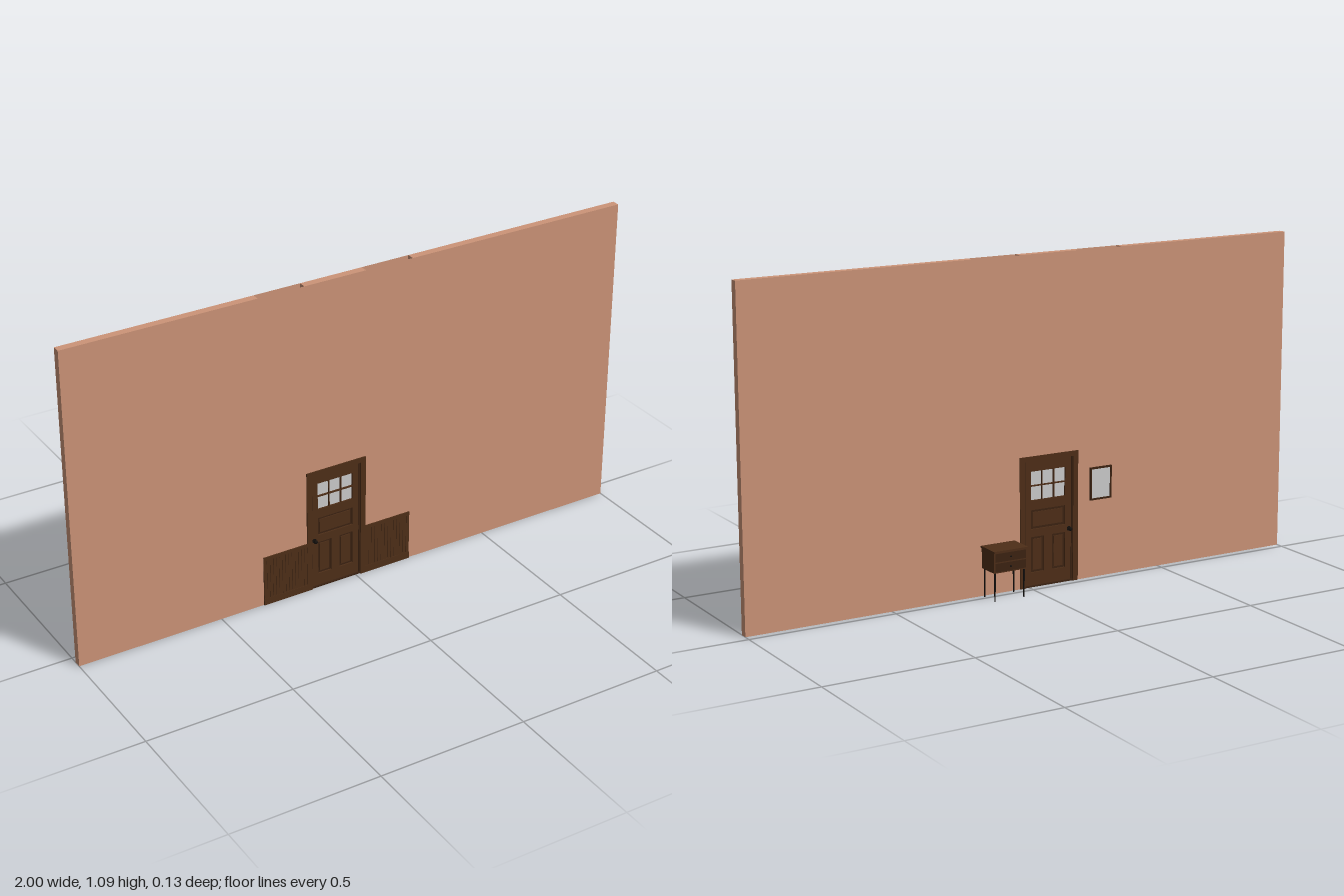
import * as THREE from 'three';

const mat = (color, side = THREE.FrontSide) => new THREE.MeshStandardMaterial({ color, side });
const wallMat = mat(0xcc9478);
const openWallMat = mat(0xcc9478, THREE.DoubleSide);
const wood = mat(0x4e2e18);
const darkWood = mat(0x3c2312);
const black = mat(0x14100d);
const grey = mat(0xcccccc);

const WALL_BACK = 0.026, WALL_FRONT = 0.052, WALL_TOP = 1.09;
const WALL_MID = (WALL_BACK + WALL_FRONT) / 2;
const DOOR_X = -0.0745;

function add(parent, name, geometry, material, x = 0, y = 0, z = 0) {
  const mesh = new THREE.Mesh(geometry, material);
  mesh.name = name;
  mesh.position.set(x, y, z);
  parent.add(mesh);
  return mesh;
}

// Box given by its limits on each axis
function box(parent, name, material, [x0, x1], [y0, y1], [z0, z1]) {
  return add(parent, name, new THREE.BoxGeometry(x1 - x0, y1 - y0, z1 - z0), material,
    (x0 + x1) / 2, (y0 + y1) / 2, (z0 + z1) / 2);
}

// Rectangular ring with a front along z
function ring(parent, name, material, [x0, x1], [y0, y1], [z0, z1], border) {
  box(parent, name, material, [x0, x0 + border], [y0, y1], [z0, z1]);
  box(parent, name, material, [x1 - border, x1], [y0, y1], [z0, z1]);
  box(parent, name, material, [x0 + border, x1 - border], [y1 - border, y1], [z0, z1]);
  box(parent, name, material, [x0 + border, x1 - border], [y0, y0 + border], [z0, z1]);
}

function makeWall() {
  const wall = new THREE.Group();
  wall.name = 'wall';
  const z = [WALL_BACK, WALL_FRONT];
  box(wall, 'wallRight', wallMat, [-1, -0.345], [0, WALL_TOP], z);
  box(wall, 'wallLeft', wallMat, [0.205, 1], [0, WALL_TOP], z);
  box(wall, 'wallAboveDoor', wallMat, [-0.184, 0.035], [0.425, WALL_TOP], z);
  // Hollow stretches beside the door, open at top and bottom
  for (const [x0, x1] of [[-0.345, -0.184], [0.035, 0.205]]) {
    for (const zFace of z) {
      const face = add(wall, 'wallSkin', new THREE.PlaneGeometry(x1 - x0, WALL_TOP), openWallMat,
        (x0 + x1) / 2, WALL_TOP / 2, zFace);
      if (zFace === WALL_BACK) face.rotation.y = Math.PI;
    }
  }
  return wall;
}

function makeWainscot(x0, x1) {
  const group = new THREE.Group();
  group.name = 'wainscot';
  box(group, 'backing', darkWood, [x0, x1], [0, 0.172], [WALL_FRONT, 0.0535]);
  // Narrow vertical boards with grooves between them
  const count = 14, step = (x1 - x0) / count;
  for (let i = 0; i < count; i++) {
    const x = x0 + i * step;
    box(group, 'board', wood, [x + 0.0006, x + step - 0.0006], [0.02, 0.165], [0.0535, 0.0545]);
  }
  box(group, 'baseboard', wood, [x0, x1], [0, 0.024], [WALL_FRONT, 0.056]);
  box(group, 'capRail', wood, [x0, x1], [0.166, 0.178], [WALL_FRONT, 0.056]);
  return group;
}

function rectPath(Type, [x0, x1, y0, y1]) {
  return new Type([[x0, y0], [x1, y0], [x1, y1], [x0, y1]].map(p => new THREE.Vector2(...p)));
}

function makeDoor() {
  const door = new THREE.Group();
  door.name = 'door';
  door.position.x = DOOR_X;

  // Frame through the wall
  const frameZ = [0.023, 0.056];
  for (const s of [-1, 1]) {
    box(door, 'jamb', wood, s < 0 ? [-0.1095, -0.091] : [0.091, 0.1095], [0, 0.42], frameZ);
    const inner = s < 0 ? [-0.091, -0.087] : [0.087, 0.091];
    box(door, 'doorStop', darkWood, inner, [0, 0.42], [0.028, 0.05]);
  }
  box(door, 'frameHead', wood, [-0.1095, 0.1095], [0.42, 0.437], frameZ);
  box(door, 'threshold', darkWood, [-0.091, 0.091], [0, 0.005], [0.026, 0.052]);

  // Leaf with openings for six panes and three panels
  const panes = [];
  for (let i = 0; i < 3; i++) {
    for (let j = 0; j < 2; j++) {
      const x = -0.065 + i * 0.0445, y = 0.289 + j * 0.05;
      panes.push([x, x + 0.041, y, y + 0.046]);
    }
  }
  const panels = [[-0.065, 0.065, 0.193, 0.257], [-0.065, -0.015, 0.048, 0.167], [0.015, 0.065, 0.048, 0.167]];
  const shape = rectPath(THREE.Shape, [-0.0905, 0.0905, 0.005, 0.42]);
  for (const hole of [...panes, ...panels]) shape.holes.push(rectPath(THREE.Path, hole));
  const leaf = new THREE.ExtrudeGeometry(shape, { depth: 0.016, bevelEnabled: false });
  add(door, 'leaf', leaf, wood, 0, 0, WALL_MID - 0.008);
  box(door, 'glass', grey, [-0.066, 0.066], [0.288, 0.386], [WALL_MID - 0.002, WALL_MID + 0.002]);
  for (const [x0, x1, y0, y1] of panels) {
    box(door, 'panel', darkWood, [x0, x1], [y0, y1], [WALL_MID - 0.003, WALL_MID + 0.003]);
    box(door, 'raisedField', wood, [x0 + 0.008, x1 - 0.008], [y0 + 0.008, y1 - 0.008],
      [WALL_MID - 0.006, WALL_MID + 0.006]);
  }

  // Knob, spindle and plate on each face
  for (const s of [-1, 1]) {
    const at = d => WALL_MID + s * d;
    const plate = add(door, 'knobPlate', new THREE.CylinderGeometry(0.0075, 0.0075, 0.002, 20), black, -0.079, 0.177, at(0.009));
    const stem = add(door, 'knobStem', new THREE.CylinderGeometry(0.003, 0.003, 0.01, 12), black, -0.079, 0.177, at(0.013));
    plate.rotation.x = stem.rotation.x = Math.PI / 2;
    add(door, 'knob', new THREE.SphereGeometry(0.0065, 20, 14), black, -0.079, 0.177, at(0.0185)).scale.z = 0.75;
  }
  return door;
}

function makeTable() {
  const table = new THREE.Group();
  table.name = 'sideTable';
  box(table, 'tableTop', wood, [0.056, 0.181], [0.162, 0.168], [-0.062, 0.024]);
  box(table, 'cabinet', wood, [0.0585, 0.1785], [0.095, 0.162], [-0.057, 0.022]);
  for (const y of [0.099, 0.131]) {
    box(table, 'drawerFront', darkWood, [0.063, 0.174], [y, y + 0.028], [-0.0585, -0.057]);
    add(table, 'drawerKnob', new THREE.SphereGeometry(0.003, 14, 10), black, 0.1185, y + 0.014, -0.0605);
  }
  for (const x of [0.065, 0.172]) {
    for (const z of [-0.05, 0.015]) {
      add(table, 'leg', new THREE.CylinderGeometry(0.003, 0.0022, 0.095, 12), black, x, 0.0475, z);
    }
  }
  return table;
}

function makePicture() {
  const picture = new THREE.Group();
  picture.name = 'picture';
  const x = [-0.312, -0.23], y = [0.262, 0.372];
  ring(picture, 'pictureFrame', darkWood, x, y, [0.02, WALL_BACK], 0.006);
  box(picture, 'pictureSheet', grey, [-0.306, -0.236], [0.268, 0.366], [0.0225, WALL_BACK]);
  return picture;
}

export function createModel() {
  const model = new THREE.Group();
  model.name = 'wallWithDoor';
  model.add(makeWall(), makeWainscot(-0.345, -0.184), makeWainscot(0.035, 0.205),
    makeDoor(), makeTable(), makePicture());
  return model;
}
